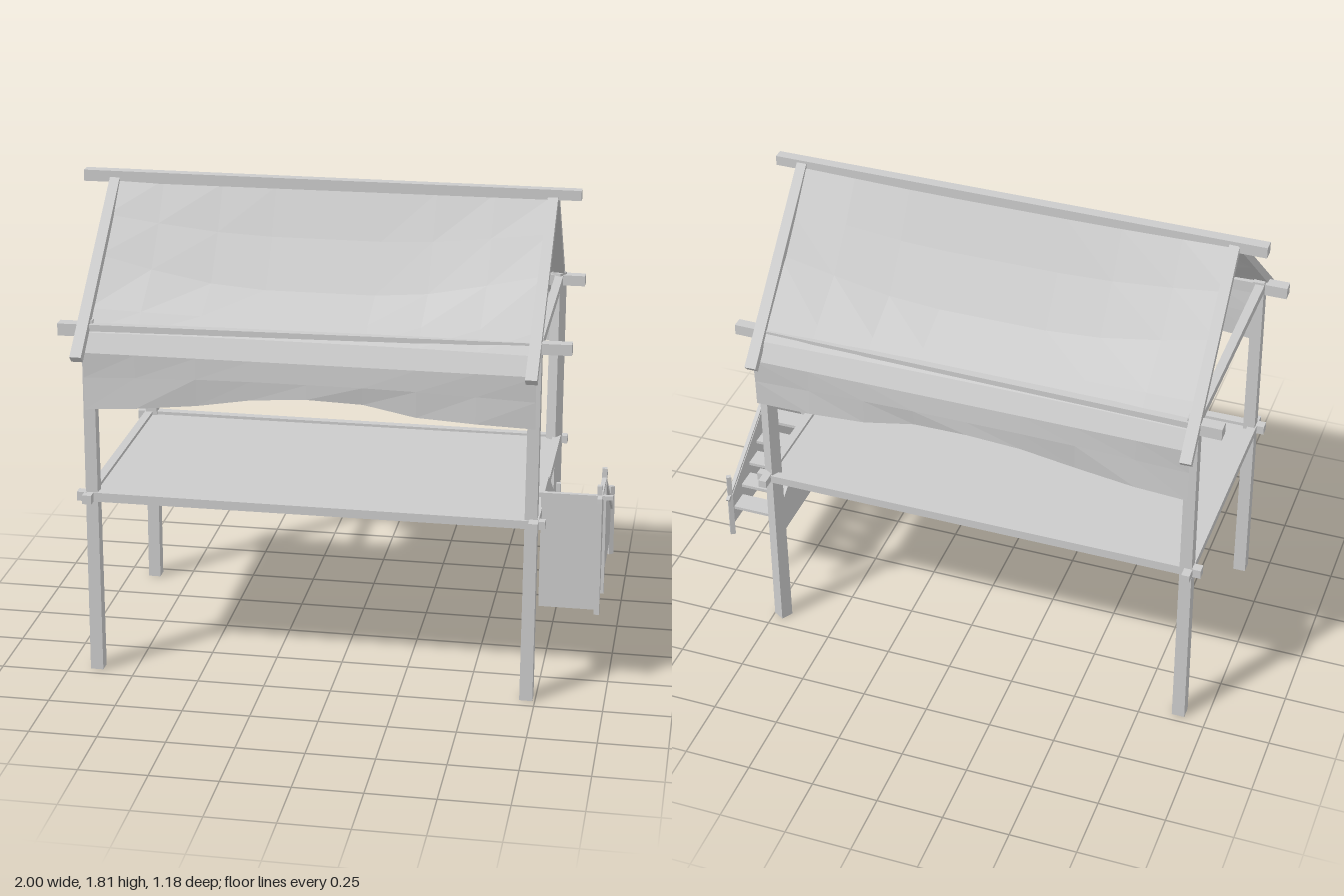
import * as THREE from 'three';

const mat = new THREE.MeshStandardMaterial({ color: 0xcccccc, flatShading: true });
const sheetMat = new THREE.MeshStandardMaterial({ color: 0xcccccc, flatShading: true, side: THREE.DoubleSide });
const V = (p) => new THREE.Vector3(...p);

export function createModel() {
  const root = new THREE.Group();

  const add = (name, geometry, material = mat) => {
    const mesh = new THREE.Mesh(geometry, material);
    mesh.name = name;
    root.add(mesh);
    return mesh;
  };

  // Rough timber from a to b, slightly narrower at its far end
  const beam = (name, a, b, w = 0.04, h = w, taper = 0.88) => {
    const from = V(a), to = V(b), len = from.distanceTo(to);
    const g = new THREE.BoxGeometry(w, h, len);
    const p = g.attributes.position;
    for (let i = 0; i < p.count; i++) {
      if (p.getZ(i) > 0) p.setXY(i, p.getX(i) * taper, p.getY(i) * taper);
    }
    g.computeVertexNormals();
    const mesh = add(name, g);
    mesh.position.copy(from).lerp(to, 0.5);
    mesh.lookAt(to);
    return mesh;
  };

  const box = (name, x0, x1, y0, y1, z0, z1) => {
    const mesh = add(name, new THREE.BoxGeometry(x1 - x0, y1 - y0, z1 - z0));
    mesh.position.set((x0 + x1) / 2, (y0 + y1) / 2, (z0 + z1) / 2);
    return mesh;
  };

  // Corner posts
  beam('post', [-0.895, 0, 0.44], [-0.885, 1.37, 0.44], 0.048);
  beam('post', [0.717, 0, 0.435], [0.72, 1.37, 0.435], 0.048);
  beam('post', [-0.895, 0, -0.447], [-0.885, 1.37, -0.447], 0.048);
  beam('post', [0.717, 0, -0.427], [0.72, 1.37, -0.432], 0.048);

  // Platform and its edge rails
  box('platform', -0.89, 0.72, 0.685, 0.7, -0.44, 0.44);
  for (const z of [0.45, -0.45]) beam('platformRail', [-0.945, 0.695, z], [0.77, 0.693, z], 0.035);
  for (const x of [-0.9, 0.73]) beam('platformSideRail', [x, 0.695, 0.5], [x, 0.698, -0.51], 0.034);

  // Roof timbers
  beam('ridgeBeam', [-1, 1.788, 0.005], [0.83, 1.79, 0.012], 0.042);
  beam('eaveBeam', [-0.99, 1.335, 0.455], [0.845, 1.348, 0.43], 0.045);
  beam('eaveBeam', [-0.99, 1.335, -0.455], [0.82, 1.342, -0.437], 0.045);
  for (const x of [-0.89, 0.722]) {
    beam('tieBeam', [x, 1.345, 0.46], [x, 1.345, -0.46], 0.034);
    const reach = x < 0 ? 0.58 : 0.56;
    for (const s of [1, -1]) {
      beam('rafter', [x - 0.005, 1.26, s * reach], [x + 0.007, 1.79, 0], 0.042, 0.032);
    }
  }

  // Cloth roof: taut end profile and sagging middle profile, as [z, y]
  const taut = [[0.015, 1.785], [0.12, 1.67], [0.24, 1.55], [0.41, 1.4], [0.48, 1.33], [0.515, 1.265], [0.508, 1.17]];
  const slack = [[0.015, 1.775], [0.11, 1.61], [0.235, 1.445], [0.40, 1.385], [0.475, 1.335], [0.512, 1.265], [0.515, 1.19]];
  const columns = [-0.89, -0.7, -0.48, -0.28, -0.08, 0.12, 0.31, 0.52, 0.73];
  const sag = [0, 0.45, 0.85, 1, 1, 1, 0.85, 0.45, 0];
  const hem = [1.05, 1.065, 1.085, 1.12, 1.135, 1.125, 1.09, 1.08, 1.07];
  const cloth = (name, side) => {
    const pos = [], index = [], rows = taut.length + 1;
    columns.forEach((x, i) => {
      taut.forEach(([z, y], j) => {
        const k = sag[i];
        pos.push(x, y + (slack[j][1] - y) * k, side * (z + (slack[j][0] - z) * k));
      });
      pos.push(x, hem[i], side * (0.51 + 0.006 * Math.sin(i * 2.1)));
    });
    for (let i = 0; i < columns.length - 1; i++) {
      for (let j = 0; j < rows - 1; j++) {
        const a = i * rows + j, b = a + 1, c = a + rows, d = c + 1;
        if (side > 0) index.push(a, b, c, c, b, d);
        else index.push(a, c, b, c, d, b);
      }
    }
    const g = new THREE.BufferGeometry();
    g.setAttribute('position', new THREE.Float32BufferAttribute(pos, 3));
    g.setIndex(index);
    g.computeVertexNormals();
    add(name, g, sheetMat);
  };
  cloth('frontRoofCloth', 1);
  cloth('backRoofCloth', -1);

  // Stair sides: level beside the landing, sloping down toward the back
  const outline = new THREE.Shape([[-0.33, 0.325], [0.335, 0.325], [0.335, 0.46], [-0.14, 0.76], [-0.33, 0.76]]
    .map(([x, y]) => new THREE.Vector2(x, y)));
  for (const x of [0.742, 0.945]) {
    const g = new THREE.ExtrudeGeometry(outline, { depth: 0.01, bevelEnabled: false });
    g.rotateY(Math.PI / 2);
    add('stairSidePanel', g).position.x = x;
  }
  box('stairFrontPanel', 0.745, 0.955, 0.325, 0.765, 0.325, 0.335);

  // Landing and treads
  box('landing', 0.745, 0.95, 0.675, 0.69, 0.14, 0.33);
  for (let i = 0; i < 6; i++) {
    const z = 0.14 - i * 0.078, y = 0.65 - i * 0.05;
    box('tread', 0.745, 0.95, y - 0.012, y, z - 0.08, z);
  }

  // Stair posts and handrails
  beam('stairPost', [0.955, 0.31, 0.335], [0.952, 0.81, 0.335], 0.02);
  beam('stairPost', [0.957, 0.31, 0.142], [0.955, 0.805, 0.142], 0.02);
  beam('stairPost', [0.957, 0.27, -0.335], [0.955, 0.55, -0.338], 0.02);
  beam('stairPost', [0.75, 0.27, -0.335], [0.75, 0.55, -0.335], 0.02);
  beam('landingRail', [0.955, 0.768, 0.385], [0.955, 0.762, 0.07], 0.017);
  beam('landingFrontRail', [0.735, 0.765, 0.338], [1.0, 0.767, 0.338], 0.017);
  beam('stairHandrail', [0.955, 0.765, 0.15], [0.955, 0.447, -0.36], 0.016);

  return root;
}
